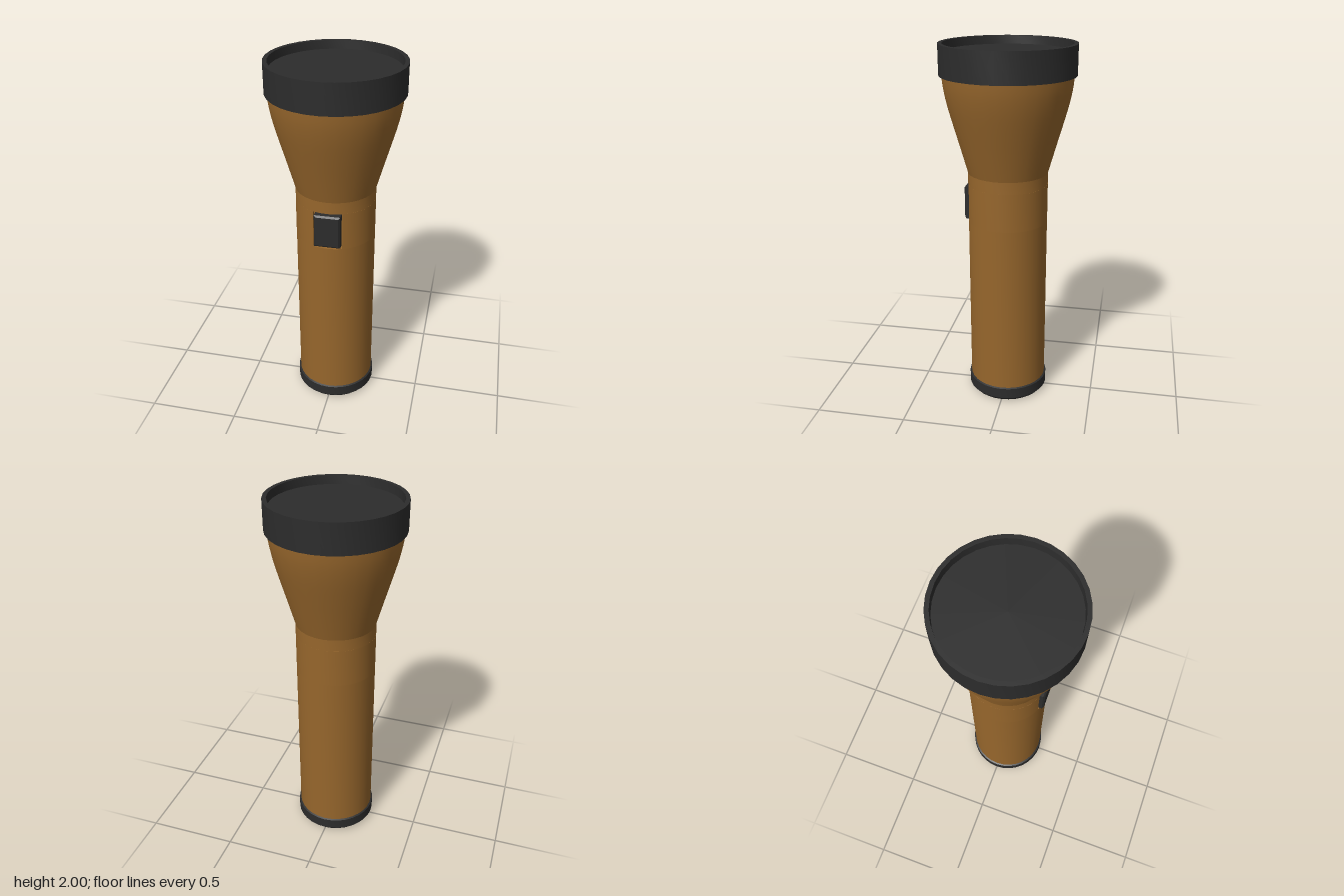
import * as THREE from 'three';
import { toCreasedNormals } from 'three/addons/utils/BufferGeometryUtils.js';

const SEGMENTS = 32;
const R = 0.217; // handle radius
const SLOT = { halfWidth: 0.078, bottom: 1.045, top: 1.255, floor: 0.18 };

export function createModel() {
  const model = new THREE.Group();
  const brown = new THREE.MeshStandardMaterial({ color: 0x96662c });
  const black = new THREE.MeshStandardMaterial({ color: 0x2c2c2c });

  const add = (name, geometry, material, crease = 0.42) => {
    const mesh = new THREE.Mesh(toCreasedNormals(geometry, crease), material);
    mesh.name = name;
    model.add(mesh);
    return mesh;
  };
  const lathe = (points) =>
    new THREE.LatheGeometry(points.map(([x, y]) => new THREE.Vector2(x, y)), SEGMENTS);

  // Handle below and above the switch slot
  add('handleLower', lathe([[R, 0.07], [R, SLOT.bottom], [0, SLOT.bottom]]), brown);
  add('handleUpper', lathe([[0, SLOT.top], [R, SLOT.top], [R, 1.32]]), brown);

  // Handle section with the switch slot cut into its front
  const a = Math.asin(SLOT.halfWidth / R);
  const section = new THREE.Shape();
  section.absarc(0, 0, R, -Math.PI / 2 + a, Math.PI * 1.5 - a, false);
  section.lineTo(-SLOT.halfWidth, -SLOT.floor);
  section.lineTo(SLOT.halfWidth, -SLOT.floor);
  section.closePath();
  const slotted = new THREE.ExtrudeGeometry(section, {
    depth: SLOT.top - SLOT.bottom, bevelEnabled: false, curveSegments: 28,
  });
  slotted.rotateX(-Math.PI / 2).translate(0, SLOT.bottom, 0);
  add('handleSlot', slotted, brown);

  // Flared head
  const flare = new THREE.SplineCurve([
    [0.262, 1.48], [0.295, 1.595], [0.322, 1.695], [0.339, 1.78], [0.346, 1.85],
  ].map(([x, y]) => new THREE.Vector2(x, y)));
  add('head', lathe([[R, 1.32], ...flare.getPoints(10).map((p) => [p.x, p.y])]), brown);

  // Bezel ring with a recessed lens
  add('bezel', lathe([
    [0.33, 1.84], [0.36, 1.84], [0.36, 2], [0.338, 2], [0.335, 1.95],
  ]), black);
  add('lens', lathe([[0.336, 1.955], [0, 1.955]]), black);

  // Chamfered end cap
  add('endCap', lathe([
    [0, 0], [0.208, 0], [0.226, 0.02], [0.226, 0.08], [0.215, 0.085],
  ]), black);

  // Switch button with bevelled edges
  const w = 0.061, h = 0.084, bevel = 0.009;
  const face = new THREE.Shape([[-w, -h], [w, -h], [w, h], [-w, h]]
    .map(([x, y]) => new THREE.Vector2(x, y)));
  const button = new THREE.ExtrudeGeometry(face, {
    depth: 0.06, bevelEnabled: true, bevelSegments: 1, bevelSize: bevel, bevelThickness: bevel,
  });
  add('switchButton', button, black, 0.3).position.set(0, 1.15, 0.16);

  return model;
}
